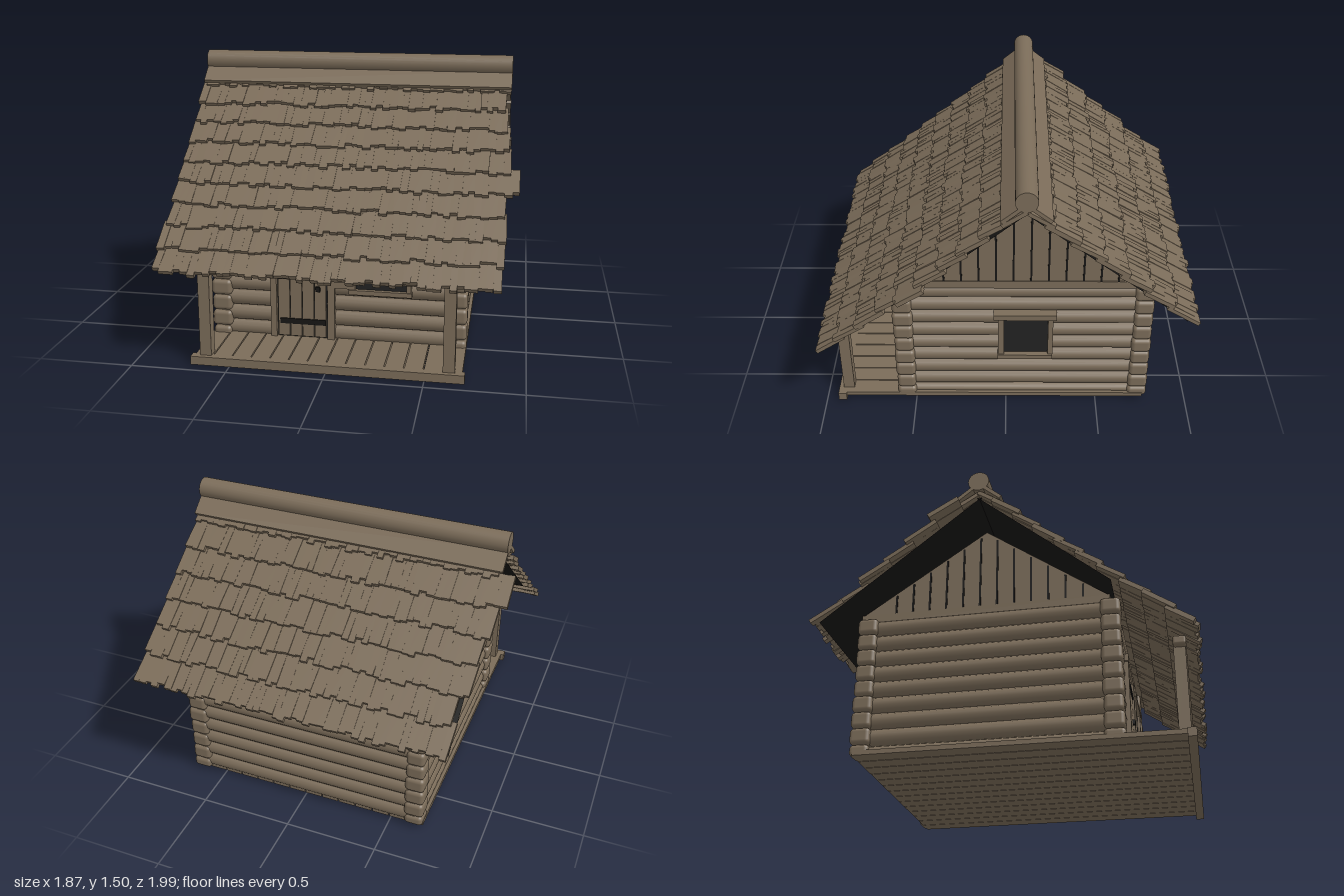
import * as THREE from 'three';
import { mergeGeometries } from 'three/addons/utils/BufferGeometryUtils.js';
import { RoundedBoxGeometry } from 'three/addons/geometries/RoundedBoxGeometry.js';

export function createModel() {
  const model = new THREE.Group();
  model.name = 'logCabin';
  const mat = (name, color, side = THREE.FrontSide) => {
    const m = new THREE.MeshStandardMaterial({ color, side });
    m.name = name;
    return m;
  };
  const wood = mat('weatheredWood', 0x7b6c59);
  const dark = mat('darkOpening', 0x222222);
  const black = mat('blackLining', 0x171615, THREE.DoubleSide);

  let seed = 7;
  const rand = () => (seed = (seed * 16807) % 2147483647) / 2147483647;
  const jitter = (a) => (rand() * 2 - 1) * a;

  const add = (name, geometry, material, parent = model) => {
    const mesh = new THREE.Mesh(geometry, material);
    mesh.name = name;
    parent.add(mesh);
    return mesh;
  };
  // box given by its limits on each axis
  const box = (name, x0, x1, y0, y1, z0, z1, material = wood) => {
    const mesh = add(name, new THREE.BoxGeometry(x1 - x0, y1 - y0, z1 - z0), material);
    mesh.position.set((x0 + x1) / 2, (y0 + y1) / 2, (z0 + z1) / 2);
    return mesh;
  };

  // Floor and porch boards, running front to back
  const boards = 14, boardW = 1.38 / boards;
  for (let i = 0; i < boards; i++) {
    const x = -0.69 + i * boardW;
    box('floorBoard', x + 0.003, x + boardW - 0.003, 0.02, 0.045, -0.76, 0.9);
  }
  box('porchSill', -0.705, 0.7, 0, 0.045, 0.89, 0.935);

  // Solid wall core behind the logs
  box('wallCore', -0.62, 0.62, 0.03, 0.79, -0.73, 0.55);

  // Log walls: side rows sit half a log off the front and back rows
  const sideLogs = [], crossLogs = [], ends = [];
  for (let i = 0; i < 9; i++) {
    const ySide = i ? 0.037 + i * 0.088 : 0.05;
    const yCross = 0.068 + i * 0.086;
    for (const s of [-1, 1]) {
      sideLogs.push(new THREE.CylinderGeometry(0.049, 0.049, 1.3, 14)
        .rotateX(Math.PI / 2).scale(1, i ? 0.95 : 0.6, 1).translate(s * 0.62, ySide, -0.09));
      crossLogs.push(new THREE.CylinderGeometry(0.047, 0.047, 1.28, 14)
        .rotateZ(Math.PI / 2).translate(0, yCross, s > 0 ? 0.54 : -0.725));
      // Notched ends stacked at the corners
      for (const z of [0.55, -0.73]) {
        const h = i ? 0.086 : 0.06;
        ends.push(new RoundedBoxGeometry(0.105 + jitter(0.006), h, 0.105 + jitter(0.006), 3, 0.022)
          .translate(s * 0.634, ySide, z));
      }
    }
  }
  add('sideWallLogs', mergeGeometries(sideLogs), wood);
  add('frontAndBackWallLogs', mergeGeometries(crossLogs), wood);
  add('cornerLogEnds', mergeGeometries(ends), wood);

  // Gables with dark joints between the planks
  const apexZ = -0.1, apexY = 1.265, baseY = 0.81, frontZ = 0.55, backZ = -0.77;
  const triangle = new THREE.Shape([[frontZ, baseY], [apexZ, apexY], [backZ, baseY]]
    .map(([a, b]) => new THREE.Vector2(a, b)));
  const gableGeo = new THREE.ExtrudeGeometry(triangle, { depth: 0.03, bevelEnabled: false });
  for (const s of [-1, 1]) {
    const gable = add('gable', gableGeo, wood);
    gable.rotation.y = -Math.PI / 2;
    gable.position.x = s > 0 ? 0.655 : -0.625;
    box('wallPlate', s * 0.63 - 0.03, s * 0.63 + 0.03, 0.77, 0.815, -0.77, 0.55);
    for (let i = 0; i < 12; i++) {
      const z = 0.413 - i * 0.0907;
      const t = z > apexZ ? (frontZ - z) / (frontZ - apexZ) : (z - backZ) / (apexZ - backZ);
      const top = baseY + t * (apexY - baseY) - 0.015;
      box('gableJoint', s * 0.657 - 0.003, s * 0.657 + 0.003, 0.815, top, z - 0.005, z + 0.005, black);
    }
  }

  // Roof slopes of overlapping ragged shingles, built flat and then tilted
  function slope(name, run, drop, rows, yaw, liningLength) {
    const group = new THREE.Group();
    group.name = name;
    group.rotation.order = 'YXZ';
    group.rotation.set(Math.atan2(drop, run), yaw, 0);
    group.position.set(-0.005, 1.39, apexZ);
    model.add(group);
    const length = Math.hypot(run, drop), pitch = length / rows, count = 48;
    for (let r = 0; r < rows; r++) {
      const parts = [], shift = jitter(0.012);
      let x = -0.868 + shift;
      const step = 1.736 / count;
      for (let i = 0; i < count; i++) {
        const w = step * (0.8 + rand() * 0.4);
        const bottom = (r + 1) * pitch + jitter(0.016);
        const top = Math.max(r * pitch - 0.035, 0);
        const len = bottom - top;
        parts.push(new THREE.BoxGeometry(w + 0.002, 0.023 + jitter(0.003), len)
          .rotateX(-0.12 + jitter(0.02)).rotateY(jitter(0.03))
          .translate(x + w / 2, 0.002 + jitter(0.002), (bottom + top) / 2));
        x += w;
      }
      add('shingleRow', mergeGeometries(parts), wood, group);
    }
    // Black lining under the slope
    const lining = add('roofLining', new THREE.PlaneGeometry(1.68, liningLength), black, group);
    lining.rotation.x = -Math.PI / 2;
    lining.position.set(0, -0.028, liningLength / 2);
    // Cap board beside the ridge
    const cap = add('ridgeCapBoard', new THREE.BoxGeometry(1.745, 0.02, 0.12), wood, group);
    cap.position.set(0, 0.03, 0.07);
  }
  slope('frontRoof', 1.07, 0.89, 10, 0, 0.9);
  slope('backRoof', 0.87, 0.69, 7, Math.PI, 1.08);

  // Ridge log
  const ridge = add('ridgeLog', new THREE.CylinderGeometry(0.056, 0.056, 1.745, 24), wood);
  ridge.rotation.z = Math.PI / 2;
  ridge.position.set(-0.005, 1.443, apexZ);

  // Porch posts and the beam they carry
  for (const x of [-0.63, 0.62]) box('porchPost', x - 0.03, x + 0.03, 0.045, 0.49, 0.85, 0.91);
  const beam = add('porchBeam', new RoundedBoxGeometry(1.4, 0.046, 0.066, 2, 0.012), wood);
  beam.position.set(0, 0.507, 0.882);

  // Plank door with frame, hinges and handle
  box('doorBacking', -0.325, -0.055, 0.045, 0.57, 0.55, 0.589, dark);
  for (let i = 0; i < 4; i++) {
    const x = -0.322 + i * 0.066;
    box('doorPlank', x + 0.002, x + 0.064, 0.05, 0.57, 0.58, 0.597);
  }
  box('doorPostRight', -0.36, -0.327, 0.045, 0.6, 0.55, 0.607);
  box('doorPostLeft', -0.05, -0.012, 0.045, 0.6, 0.55, 0.607);
  box('doorLintel', -0.37, 0, 0.57, 0.61, 0.55, 0.609);
  for (const y of [0.135, 0.49]) box('doorHinge', -0.31, -0.06, y - 0.015, y + 0.015, 0.596, 0.603, black);
  box('doorHandle', -0.114, -0.09, 0.312, 0.338, 0.596, 0.612, black);

  // Front window with a shutter on one side
  box('frontWindowPane', 0.1, 0.37, 0.335, 0.55, 0.585, 0.592, dark);
  box('frontWindowSill', 0.065, 0.4, 0.31, 0.335, 0.55, 0.615);
  box('frontWindowLintel', 0.065, 0.4, 0.55, 0.575, 0.55, 0.612);
  box('frontWindowJamb', 0.37, 0.395, 0.335, 0.55, 0.55, 0.608);
  box('frontWindowJamb', 0.07, 0.1, 0.335, 0.55, 0.55, 0.608);
  box('windowShutter', -0.03, 0.068, 0.335, 0.575, 0.57, 0.602);

  // Side window
  box('sideWindowPane', 0.665, 0.672, 0.34, 0.58, -0.225, 0.01, dark);
  box('sideWindowSill', 0.62, 0.7, 0.31, 0.338, -0.25, 0.045);
  box('sideWindowLintel', 0.62, 0.7, 0.583, 0.617, -0.27, 0.065);
  box('sideWindowJamb', 0.62, 0.69, 0.338, 0.583, 0.01, 0.042);
  box('sideWindowJamb', 0.62, 0.69, 0.338, 0.583, -0.252, -0.225);

  return model;
}
